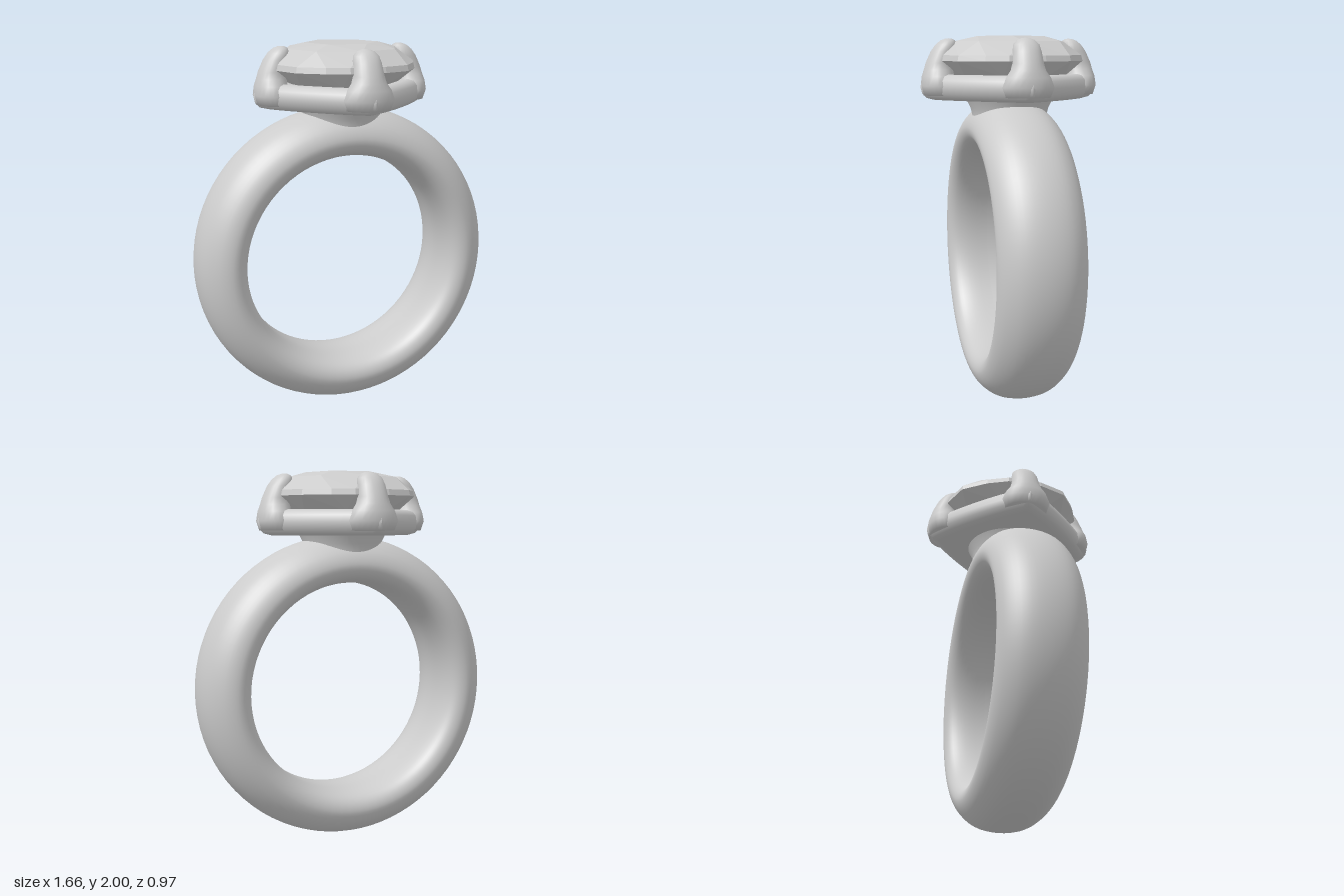
import * as THREE from 'three';
import { toCreasedNormals } from 'three/addons/utils/BufferGeometryUtils.js';
import { ConvexGeometry } from 'three/addons/geometries/ConvexGeometry.js';

const metal = new THREE.MeshStandardMaterial({ color: 0xcccccc });
const stone = new THREE.MeshStandardMaterial({ color: 0xcccccc, flatShading: true });

function part(name, geometry, material = metal) {
  const mesh = new THREE.Mesh(geometry, material);
  mesh.name = name;
  return mesh;
}

// Skin between closed rings of points, listed from bottom to top
function loft(rings) {
  const n = rings[0].length, index = [];
  for (let j = 0; j < rings.length - 1; j++) {
    for (let i = 0; i < n; i++) {
      const a = j * n + i, b = j * n + (i + 1) % n;
      index.push(a, a + n, b, b, a + n, b + n);
    }
  }
  const geometry = new THREE.BufferGeometry().setFromPoints(rings.flat());
  geometry.setIndex(index);
  geometry.computeVertexNormals();
  return geometry;
}

const ringOf = (n, fn) => Array.from({ length: n }, (_, i) => fn(i / n * Math.PI * 2));

// Comfort-fit band: a domed section turned about the finger axis
function band() {
  const half = [[0.578, 0.12], [0.6, 0.19], [0.635, 0.222], [0.68, 0.23], [0.745, 0.2], [0.808, 0.12]];
  const loop = [[0.575, 0], ...half.map(([r, z]) => [r, -z]), [0.83, 0], ...half.slice().reverse()];
  const curve = new THREE.CatmullRomCurve3(loop.map(([r, z]) => new THREE.Vector3(r, z, 0)), true);
  const profile = curve.getPoints(56).map((p) => new THREE.Vector2(p.x, p.y));
  const mesh = part('band', new THREE.LatheGeometry(profile, 80));
  mesh.rotation.x = Math.PI / 2;
  mesh.position.y = 0.835;
  return mesh;
}

// Flared neck joining band and setting
function neck() {
  const profile = [[0, 1.5], [0.2, 1.5], [0.2, 1.57], [0.212, 1.62], [0.24, 1.675], [0, 1.675]];
  const geometry = new THREE.LatheGeometry(profile.map(([r, y]) => new THREE.Vector2(r, y)), 40);
  return part('neck', toCreasedNormals(geometry, 0.7));
}

// Diamond-plan base of the setting, with soft corners and edges
function settingBase() {
  const levels = [[0, 1.665], [0.41, 1.665], [0.452, 1.675], [0.478, 1.7], [0.487, 1.735],
    [0.477, 1.77], [0.455, 1.792], [0.42, 1.8], [0.36, 1.795], [0, 1.77]];
  const p = 1.15;
  const rings = levels.map(([s, y]) => ringOf(96, (t) => {
    const c = Math.cos(t), d = Math.sin(t);
    const r = s / Math.pow(Math.abs(c) ** p + Math.abs(d) ** p, 1 / p);
    return new THREE.Vector3(r * c, y, r * d);
  }));
  return part('settingBase', toCreasedNormals(loft(rings), 0.9));
}

// Claw: oval sections leaning inward [centre, y, half depth, half width]
function prongGeometry() {
  const sections = [[0.37, 1.69, 0, 0], [0.37, 1.69, 0.1, 0.12], [0.39, 1.74, 0.093, 0.135],
    [0.392, 1.79, 0.085, 0.115], [0.388, 1.825, 0.078, 0.09], [0.383, 1.86, 0.073, 0.08],
    [0.362, 1.92, 0.066, 0.074], [0.346, 1.955, 0.056, 0.066], [0.337, 1.977, 0.038, 0.044],
    [0.333, 1.986, 0.018, 0.02], [0.332, 1.988, 0, 0]];
  return loft(sections.map(([c, y, d, w]) => ringOf(24, (t) =>
    new THREE.Vector3(c + d * Math.cos(t), y, w * Math.sin(t)))));
}

// Faceted stone: table, crown, girdle and pavilion
function gem() {
  const points = [];
  const add = (r, y, deg) => {
    const a = THREE.MathUtils.degToRad(deg);
    points.push(new THREE.Vector3(r * Math.cos(a), y, r * Math.sin(a)));
  };
  for (let q = 0; q < 360; q += 90) {
    for (const [deg, r] of [[14, 0.395], [32, 0.392], [54, 0.41], [76, 0.395]]) {
      add(r, 1.87, q + deg);
      add(r - 0.008, 1.9, q + deg);
    }
    for (const deg of [0, 45]) {
      add(0.305, 1.972, q + deg);
      add(0.3, 1.79, q + deg + 20);
    }
  }
  for (let deg = 10; deg < 360; deg += 60) add(0.2, 2, deg);
  add(0, 1.7, 0);
  return part('gem', new ConvexGeometry(points), stone);
}

export function createModel() {
  const model = new THREE.Group();
  model.name = 'ring';
  model.add(band(), neck(), settingBase(), gem());

  const prongs = new THREE.Group();
  prongs.name = 'prongs';
  const claw = prongGeometry();
  for (let i = 0; i < 4; i++) {
    const prong = part('prong', claw);
    prong.rotation.y = i * Math.PI / 2;
    prongs.add(prong);
  }
  model.add(prongs);
  return model;
}
